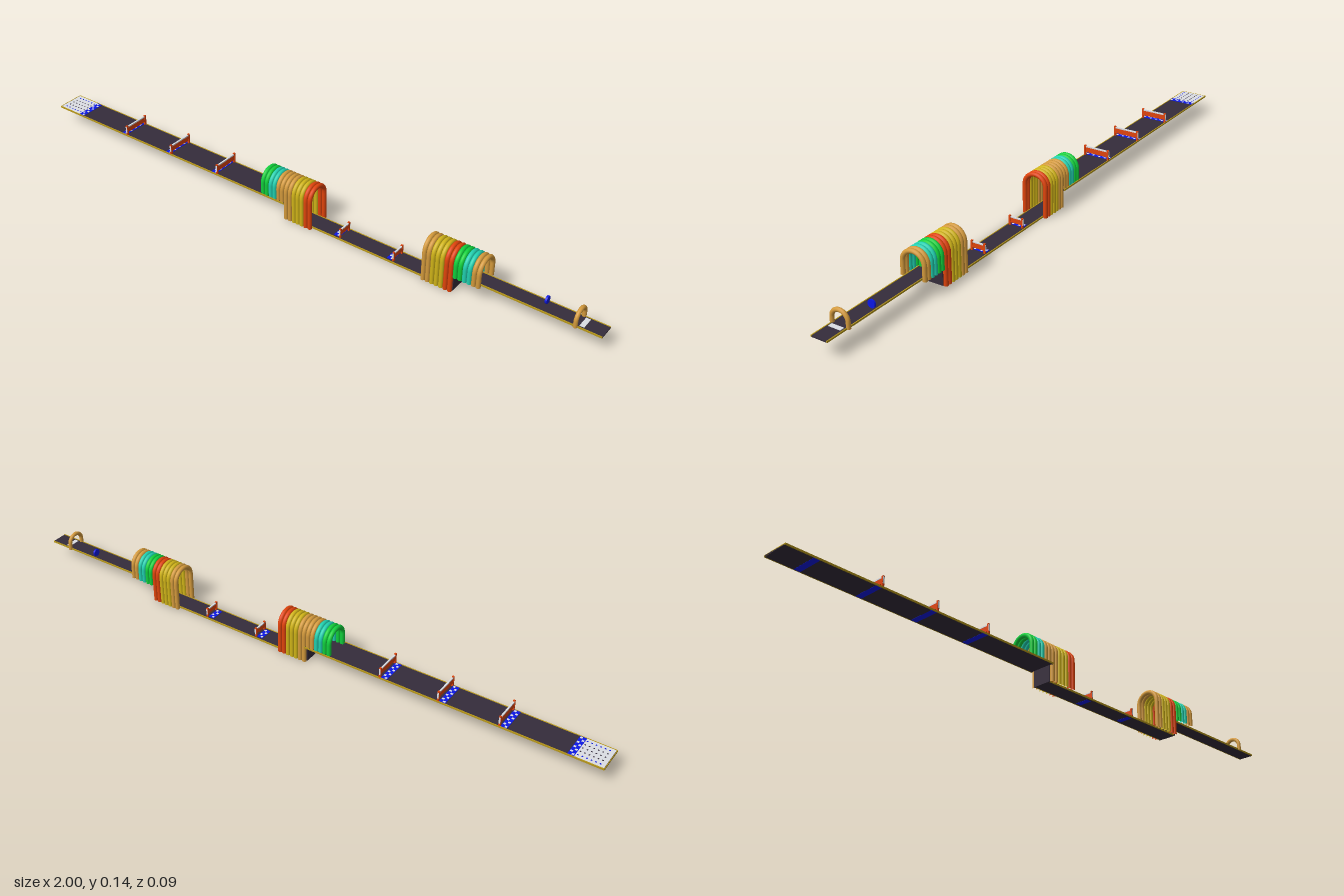
import * as THREE from 'three';

const mat = (name, color) => {
  const m = new THREE.MeshStandardMaterial({ color });
  m.name = name;
  return m;
};

export function createModel() {
  const M = {
    deck: mat('dark purple', 0x352c3b),
    gold: mat('gold trim', 0xb8981a),
    white: mat('pale grey', 0xdcdee4),
    blue: mat('blue', 0x0c18e6),
    red: mat('orange red', 0xe0440c),
    green: mat('green', 0x10d03c),
    cyan: mat('turquoise', 0x20d0b0),
    yellow: mat('yellow', 0xd0b418),
    tan: mat('tan', 0xd49a3c)
  };
  const model = new THREE.Group();
  const TOP = 0.058, LOW = 0.004, T = 0.004;

  // box given by its lower and upper limits
  const box = (parent, name, m, x0, x1, y0, y1, z0, z1) => {
    const b = new THREE.Mesh(new THREE.BoxGeometry(x1 - x0, y1 - y0, z1 - z0), m);
    b.position.set((x0 + x1) / 2, (y0 + y1) / 2, (z0 + z1) / 2);
    b.name = name;
    parent.add(b);
  };

  // track section with a gold border along both sides
  const track = (name, x0, x1, y, w) => {
    const g = new THREE.Group();
    g.name = name;
    box(g, 'deck', M.deck, x0, x1, y - T, y, -w + 0.003, w - 0.003);
    for (const s of [-1, 1]) {
      const a = s * w, b = s * (w - 0.003);
      box(g, 'edgeTrim', M.gold, x0, x1, y - T, y + 0.001, Math.min(a, b), Math.max(a, b));
    }
    model.add(g);
  };
  track('startTrack', -1, -0.04, TOP, 0.046);
  track('sunkenTrack', -0.04, 0.55, LOW, 0.031);
  track('endTrack', 0.55, 1, TOP, 0.027);
  box(model, 'startTrim', M.gold, -1, -0.998, TOP - T, TOP + 0.001, -0.046, 0.046);

  // vertical walls at the steps
  box(model, 'stepDown', M.deck, -0.044, -0.04, 0, TOP - T, -0.032, 0.032);
  box(model, 'stepUp', M.deck, 0.548, 0.552, 0, TOP, -0.032, 0.032);

  // start pad with rows of dark dots and blue corner ticks
  box(model, 'startPad', M.white, -0.997, -0.912, TOP, TOP + 0.001, -0.043, 0.043);
  for (let i = 0; i < 6; i++) for (let j = 0; j < 5; j++) {
    const x = -0.985 + i * 0.013, z = -0.032 + j * 0.016;
    const m = j === 0 || j === 4 ? M.blue : M.deck;
    box(model, 'padDot', m, x, x + 0.004, TOP, TOP + 0.0016, z - 0.002, z + 0.002);
  }

  // blue bands with staggered white squares, flush through the deck
  const band = (x, y, w) => {
    const g = new THREE.Group();
    g.name = 'chequeredBand';
    box(g, 'bandBase', M.blue, x - 0.01, x + 0.01, y - T - 0.0004, y + 0.0012, -w, w);
    const n = Math.round(w / 0.0055);
    for (let i = 0; i < n; i++) {
      const z = -w + (i + 0.5) * 2 * w / n, dx = i % 2 ? 0.0045 : -0.0045;
      box(g, 'bandSquare', M.white, x + dx - 0.0036, x + dx + 0.0036, y, y + 0.0018, z - 0.0034, z + 0.0034);
    }
    model.add(g);
  };
  band(-0.902, TOP, 0.043);

  // hurdles: red board between two posts, pale top rail
  const hurdle = (x, y, w, h) => {
    const g = new THREE.Group();
    g.name = 'hurdle';
    for (const s of [-1, 1]) {
      box(g, 'post', M.red, x - 0.003, x + 0.003, y, y + h, s * w - 0.003, s * w + 0.003);
      box(g, 'postFace', M.white, x - 0.0025, x + 0.0025, y + h * 0.3, y + h * 0.9, s * (w + 0.0033) - 0.0006, s * (w + 0.0033) + 0.0006);
    }
    box(g, 'board', M.red, x - 0.002, x + 0.002, y + h * 0.3, y + h * 0.8, -w, w);
    box(g, 'topRail', M.white, x - 0.0025, x + 0.0025, y + h * 0.8, y + h * 0.92, -w, w);
    model.add(g);
  };
  for (const x of [-0.69, -0.497, -0.305]) {
    band(x - 0.013, TOP, 0.043);
    hurdle(x, TOP, 0.042, 0.034);
  }
  for (const x of [0.155, 0.345]) {
    band(x - 0.013, LOW, 0.022);
    hurdle(x, LOW, 0.022, 0.031);
  }

  // arched hoop: straight legs joined by a half circle
  const hoop = (name, m, x, base, top, outer, r) => {
    const R = outer - r, cy = top - outer;
    const pts = [];
    for (let i = 0; i <= 16; i++) {
      const a = Math.PI * i / 16;
      pts.push(new THREE.Vector3(x, cy + R * Math.sin(a), R * Math.cos(a)));
    }
    const path = new THREE.CurvePath();
    path.add(new THREE.LineCurve3(new THREE.Vector3(x, base, R), pts[0]));
    path.add(new THREE.CatmullRomCurve3(pts));
    path.add(new THREE.LineCurve3(pts[16], new THREE.Vector3(x, base, -R)));
    const h = new THREE.Mesh(new THREE.TubeGeometry(path, 48, r, 12), m);
    h.name = name;
    model.add(h);
  };

  // tunnels of touching hoops, tall over the sunken track
  const short = [M.green, M.green, M.cyan, M.cyan, M.tan, M.tan];
  const tall = [M.tan, M.tan, M.yellow, M.yellow, M.yellow, M.red, M.red];
  const P = 0.0147;
  short.forEach((m, i) => hoop('shortHoop', m, -0.124 + i * P, TOP - T, 0.14, 0.044, 0.0072));
  tall.forEach((m, i) => {
    hoop('tallHoop', m, -0.124 + (i + 6) * P, 0, 0.14, 0.044, 0.0072);
    hoop('tallHoop', m, 0.456 + i * P, 0, 0.14, 0.044, 0.0072);
  });
  short.forEach((m, i) => hoop('shortHoop', m, 0.456 + (i + 7) * P, TOP - T, 0.14, 0.044, 0.0072));

  // finish arch and mark
  hoop('finishArch', M.tan, 0.922, TOP - T, 0.106, 0.033, 0.0065);
  box(model, 'finishMark', M.white, 0.931, 0.945, TOP, TOP + 0.0015, -0.02, 0.02);

  // blue disc and green block
  const disc = new THREE.Mesh(new THREE.CylinderGeometry(0.012, 0.012, 0.006, 24), M.blue);
  disc.rotation.z = Math.PI / 2;
  disc.position.set(0.818, TOP + 0.012, -0.013);
  disc.name = 'blueDisc';
  model.add(disc);
  box(model, 'greenBlock', M.green, 0.575, 0.581, TOP, TOP + 0.023, 0.004, 0.024);

  return model;
}
